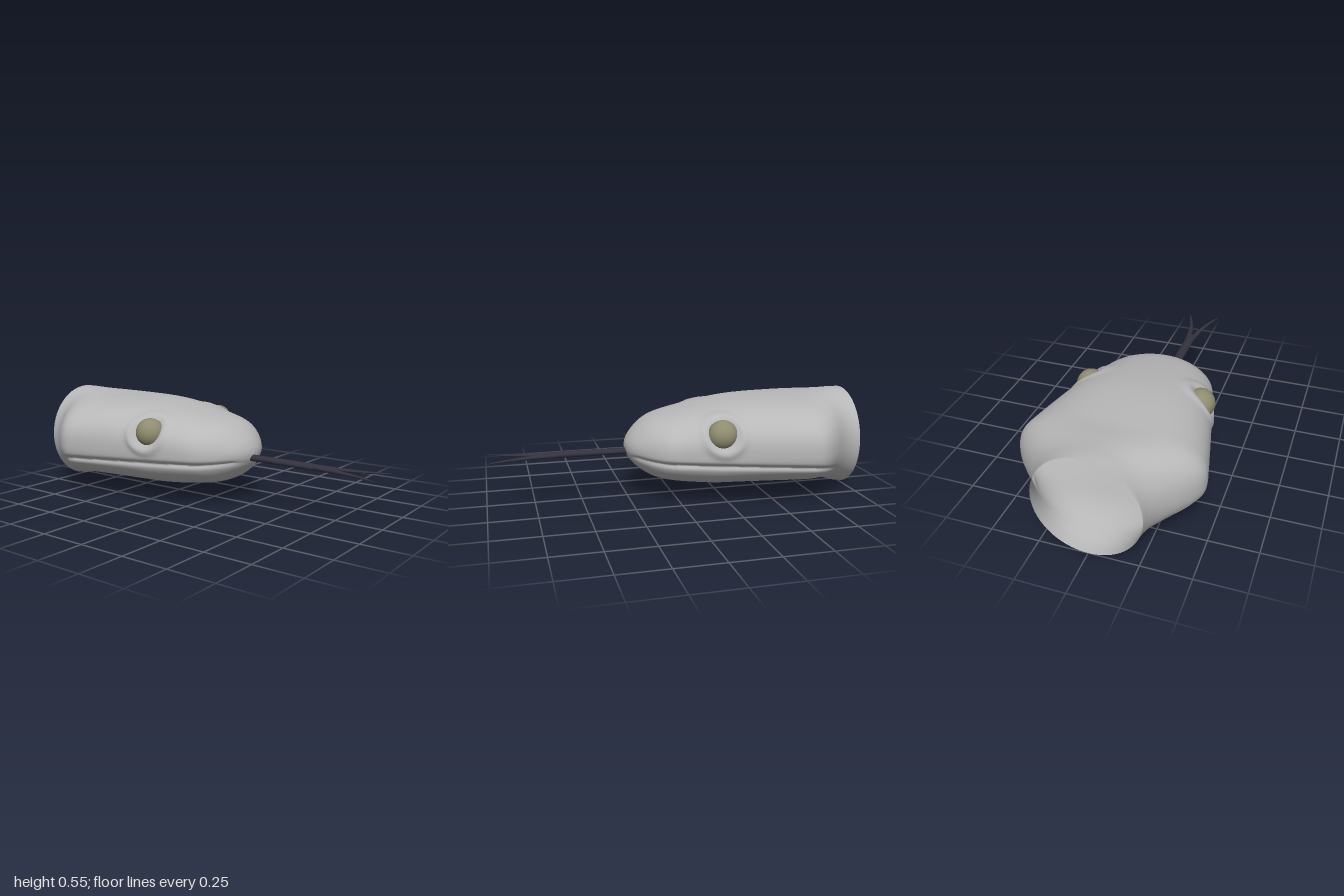
import * as THREE from 'three';

// Skin a list of closed rings (arrays of [x, y, z]) running towards +x
function loft(rings) {
  const n = rings[0].length;
  const index = [];
  for (let i = 0; i < rings.length - 1; i++) {
    for (let j = 0; j < n; j++) {
      const k = (j + 1) % n;
      const a = i * n + j, b = i * n + k, c = a + n, d = b + n;
      index.push(a, c, b, b, c, d);
    }
  }
  const g = new THREE.BufferGeometry();
  g.setAttribute('position', new THREE.Float32BufferAttribute(rings.flat(2), 3));
  g.setIndex(index);
  g.computeVertexNormals();
  return g;
}

const EYE = { x: -0.197, y: 0.385, z: 0.3 };

// Head stations: x, half width, top, bottom, height of widest point, squareness
const STATIONS = [
  [-1, 0.27, 0.552, 0.002, 0.277, 2],
  [-0.95, 0.282, 0.552, 0.01, 0.28, 2],
  [-0.9, 0.308, 0.548, 0.027, 0.285, 2.05],
  [-0.85, 0.35, 0.544, 0.045, 0.29, 2.15],
  [-0.8, 0.4, 0.54, 0.062, 0.295, 2.25],
  [-0.74, 0.448, 0.534, 0.075, 0.295, 2.4],
  [-0.68, 0.468, 0.53, 0.08, 0.295, 2.5],
  [-0.6, 0.455, 0.53, 0.08, 0.295, 2.5],
  [-0.5, 0.433, 0.53, 0.08, 0.295, 2.5],
  [-0.4, 0.411, 0.527, 0.08, 0.295, 2.5],
  [-0.3, 0.388, 0.519, 0.08, 0.293, 2.5],
  [-0.2, 0.365, 0.505, 0.08, 0.29, 2.5],
  [-0.1, 0.341, 0.488, 0.086, 0.288, 2.45],
  [0, 0.317, 0.468, 0.097, 0.285, 2.4],
  [0.07, 0.295, 0.452, 0.108, 0.283, 2.3],
  [0.12, 0.262, 0.436, 0.122, 0.28, 2.2],
  [0.165, 0.217, 0.412, 0.145, 0.28, 2.1],
  [0.205, 0.165, 0.38, 0.175, 0.28, 2],
  [0.235, 0.112, 0.347, 0.208, 0.28, 2],
  [0.255, 0.055, 0.311, 0.246, 0.28, 2],
  [0.262, 0.0005, 0.2805, 0.2795, 0.28, 2],
];

function headGeometry() {
  const curve = (a, b, c) => new THREE.CatmullRomCurve3(
    STATIONS.map((s) => new THREE.Vector3(s[a], s[b], s[c])), false, 'catmullrom', 0.5);
  const outline = curve(0, 1, 2), section = curve(3, 4, 5);
  const STEPS = 150, SIDES = 240;
  const rings = [];
  for (let i = 0; i <= STEPS; i++) {
    const { x, y: w, z: top } = outline.getPoint(i / STEPS);
    const { x: bottom, y: mid, z: power } = section.getPoint(i / STEPS);
    // Mouth line rises from the jaw corner to the snout
    const mouthY = 0.235 + 0.035 * x - 0.03 * THREE.MathUtils.smoothstep(-x, 0.65, 0.85);
    const mouth = THREE.MathUtils.smoothstep(x, -0.86, -0.74) * (1 - THREE.MathUtils.smoothstep(x, 0.2, 0.26));
    const ring = [];
    for (let j = 0; j < SIDES; j++) {
      const a = (j / SIDES) * Math.PI * 2;
      const c = Math.cos(a), s = Math.sin(a), e = 2 / power;
      let z = Math.sign(c) * Math.abs(c) ** e * w;
      let y = mid + Math.sign(s) * Math.abs(s) ** e * (s > 0 ? top - mid : mid - bottom);
      // Lip groove, with the lower jaw set slightly in
      const under = mouthY - y;
      let push = -0.014 * mouth * Math.exp(-((under / 0.014) ** 2));
      if (under > 0) push -= 0.006 * mouth * Math.exp(-under / 0.04);
      // Sunken eye socket with a raised rim
      const d = Math.hypot(x - EYE.x, y - EYE.y, (Math.abs(z) - EYE.z) * 0.6);
      push += 0.011 * Math.exp(-(((d - 0.1) / 0.02) ** 2)) - 0.022 * Math.exp(-((d / 0.07) ** 4));
      const r = Math.hypot(z, y - mid) || 1;
      const k = Math.max(0.2, 1 + push / r);
      z *= k;
      y = mid + (y - mid) * k;
      ring.push([x, y, z]);
    }
    rings.push(ring);
  }
  return loft(rings);
}

// Tongue stations: x, sideways centre, half width, half height
function tongueGeometry(stations, side) {
  return loft(stations.map(([x, z, w, h]) => Array.from({ length: 10 }, (_, j) => {
    const a = (j / 10) * Math.PI * 2;
    return [x, 0.256 + Math.sin(a) * h, side * z + Math.cos(a) * w];
  })));
}

export function createModel() {
  const skin = new THREE.MeshStandardMaterial({ color: 0xb8b8b8, side: THREE.DoubleSide });
  skin.name = 'grey skin';
  const eyeMat = new THREE.MeshStandardMaterial({ color: 0x8f8c70 });
  eyeMat.name = 'olive eye';
  const tongueMat = new THREE.MeshStandardMaterial({ color: 0x34323e });
  tongueMat.name = 'dark tongue';

  const model = new THREE.Group();
  model.name = 'snakeHead';
  const add = (name, geometry, material) => {
    const mesh = new THREE.Mesh(geometry, material);
    mesh.name = name;
    model.add(mesh);
    return mesh;
  };

  add('head', headGeometry(), skin);

  // Tongue stem and its two curved tips
  add('tongueStem', tongueGeometry([
    [0.18, 0, 0.028, 0.017], [0.62, 0, 0.028, 0.017], [0.67, 0, 0.026, 0.014],
    [0.7, 0, 0.018, 0.01], [0.72, 0, 0.0005, 0.0005],
  ], 1), tongueMat);
  const fork = [
    [0.62, 0.012, 0.014, 0.014], [0.68, 0.016, 0.016, 0.012], [0.75, 0.024, 0.015, 0.01],
    [0.82, 0.038, 0.012, 0.008], [0.89, 0.058, 0.009, 0.006], [0.95, 0.08, 0.005, 0.004],
    [1, 0.105, 0.0005, 0.0005],
  ];

  for (const [label, side] of [['right', -1], ['left', 1]]) {
    // Side names are mirrored across z, the head pointing along x
    add(label + 'TongueTip', tongueGeometry(fork, side), tongueMat);
    const eye = add(label + 'Eye', new THREE.SphereGeometry(1, 40, 28), eyeMat);
    eye.scale.set(0.08, 0.078, 0.076);
    eye.position.set(EYE.x, EYE.y, side * EYE.z);
  }
  return model;
}
